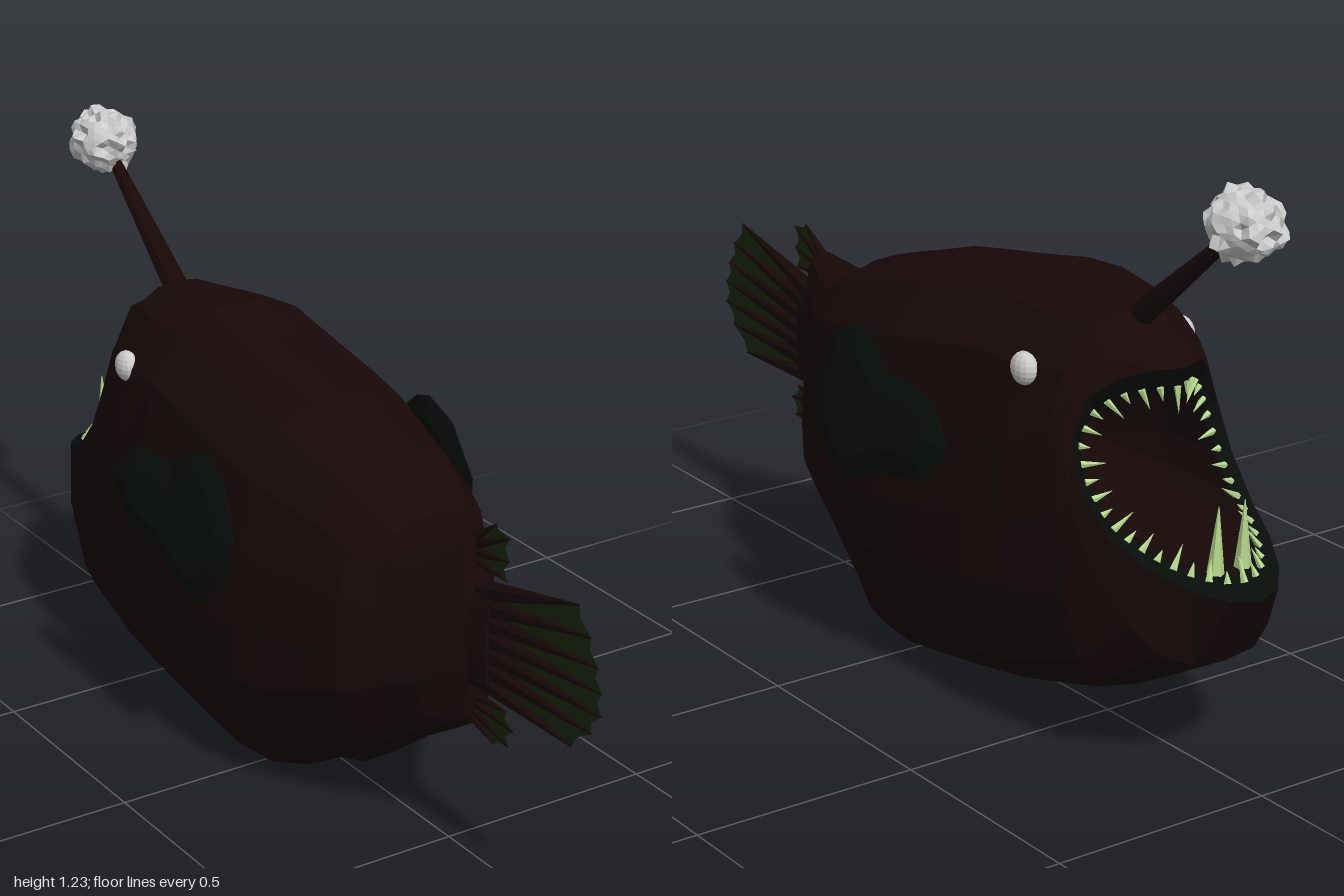
import * as THREE from 'three';

const V = (x, y, z) => new THREE.Vector3(x, y, z);
const mat = (color, side = THREE.FrontSide) =>
  new THREE.MeshStandardMaterial({ color, flatShading: true, side });

const skin = mat(0x180808);
const lipSkin = mat(0x080d0a);
const finSkin = mat(0x080f0d);
const membrane = mat(0x18270a, THREE.DoubleSide);
const toothMat = mat(0xb5d98c);
const grey = mat(0xcccccc);

// Half outline of a body section, top to belly: share of width, share of height
const PROFILE = [[0, 1], [.25, .995], [.58, .955], [.84, .84], [.96, .65], [1, .45],
  [.98, .3], [.85, .1], [.7, .045], [.12, .03], [0, 0]];

// Body sections from tail to head: z, half width, top, bottom, belly fullness
const SECTIONS = [[.65, .026, .625, .41, 1], [.6, .036, .635, .4, 1], [.585, .045, .735, .31, .8],
  [.5, .1, .72, .255, .75], [.42, .145, .715, .205, .72], [.36, .2, .755, .16, .72],
  [.28, .225, .80, .10, .75], [.18, .25, .83, .035, .82], [.08, .268, .862, 0, .92],
  [-.04, .275, .885, 0, .98], [-.18, .27, .91, .02, 1], [-.33, .262, .94, .045, 1.04],
  [-.45, .245, .928, .065, 1.08]];

// Head half rings, top to chin
const CHEEK = [[0, .91, -.59], [.05, .905, -.585], [.11, .88, -.57], [.175, .8, -.56],
  [.205, .68, -.56], [.218, .52, -.6], [.222, .36, -.64], [.212, .23, -.67], [.18, .17, -.69],
  [.09, .155, -.7], [0, .15, -.7]];
const JAW = [[0, .865, -.63], [.05, .86, -.63], [.105, .83, -.62], [.165, .775, -.595],
  [.198, .68, -.59], [.207, .55, -.63], [.2, .42, -.71], [.178, .335, -.79], [.14, .28, -.84],
  [.08, .255, -.87], [0, .25, -.88]];
const RIM = [[0, .82, -.73], [.05, .82, -.71], [.1, .8, -.66], [.15, .76, -.62],
  [.185, .68, -.61], [.193, .58, -.65], [.182, .5, -.73], [.155, .46, -.82], [.113, .43, -.9],
  [.06, .415, -.96], [0, .41, -.98]];

// Completes a half ring with its mirror image
function fullRing(half) {
  const right = half.map(p => V(...p));
  const left = right.slice(1, -1).reverse().map(p => V(-p.x, p.y, p.z));
  return [...right, ...left];
}

// Skin stretched over a row of rings
function loft(rings) {
  const n = rings[0].length, index = [];
  for (let i = 0; i < rings.length - 1; i++) {
    for (let j = 0; j < n; j++) {
      const a = i * n + j, a1 = i * n + (j + 1) % n;
      index.push(a, a1, a + n, a1, a1 + n, a + n);
    }
  }
  const g = new THREE.BufferGeometry().setFromPoints(rings.flat());
  g.setIndex(index);
  g.computeVertexNormals();
  return g;
}

// Tapered round bar between two points
function bar(a, b, r0, r1, sides, material) {
  const d = b.clone().sub(a);
  const m = new THREE.Mesh(new THREE.CylinderGeometry(r1, r0, d.length(), sides), material);
  m.position.copy(a).addScaledVector(d, .5);
  m.quaternion.setFromUnitVectors(V(0, 1, 0), d.normalize());
  return m;
}

// Fan fin in the middle plane; each ray is [base z, base y, tip z, tip y]
function rayFin(name, rays, radius) {
  const fin = new THREE.Group();
  fin.name = name;
  const edge = [];
  rays.forEach((r, i) => {
    edge.push([r[2], r[3]]);
    const q = rays[i + 1];
    if (q) edge.push([(r[2] + q[2]) / 2 - .015, (r[3] + q[3]) / 2]);
    const ray = bar(V(0, r[1], r[0]), V(0, r[3], r[2]), radius, .002, 6, skin);
    ray.name = name + 'Ray';
    fin.add(ray);
  });
  const outline = [...rays.map(r => [r[0], r[1]]).reverse(), ...edge];
  const shape = new THREE.Shape(outline.map(p => new THREE.Vector2(...p)));
  const web = new THREE.Mesh(new THREE.ShapeGeometry(shape).rotateY(-Math.PI / 2), membrane);
  web.name = name + 'Web';
  fin.add(web);
  return fin;
}

export function createModel() {
  const model = new THREE.Group();
  model.name = 'deepSeaFish';
  const add = (name, mesh) => { mesh.name = name; model.add(mesh); return mesh; };

  // Body, closed at the tail and open at the mouth
  const rim = fullRing(RIM);
  const bodyRings = SECTIONS.map(([z, w, top, low, belly]) => fullRing(PROFILE.map(([u, v]) =>
    [u * w * (v < .2 ? belly : 1), low + v * (top - low), z])));
  bodyRings.unshift(bodyRings[0].map(() => V(0, .52, .66)));
  bodyRings.push(fullRing(CHEEK), fullRing(JAW), rim);
  add('body', new THREE.Mesh(loft(bodyRings), skin));

  // Lips, set back under the brow, and the mouth cavity
  const inset = (side, roof, dz) => rim.map(p => V(p.x * side,
    .6 + (p.y - .6) * (p.y > .6 ? roof : side), -.72 + (p.z + .72) * side + dz));
  const lip = inset(.84, .74, .03);
  const throat = lip.map(p => V(p.x * .95, .58 + (p.y - .58) * .95, -.5 + (p.z + .7) * .3));
  const gullet = throat.map(p => V(p.x * .75, .56 + (p.y - .56) * .75, -.3));
  add('lips', new THREE.Mesh(loft([rim, lip]), lipSkin));
  add('mouthCavity', new THREE.Mesh(loft([lip, throat, gullet, gullet.map(() => V(0, .56, -.25))]), skin));

  // Small teeth around the mouth, leaning inwards
  const gum = new THREE.CatmullRomCurve3(inset(.88, .8, .02), true);
  const count = 40;
  for (let i = 0; i < count; i++) {
    const p = gum.getPointAt(i / count);
    const dir = V(0, .61, p.z * .6 - .3).sub(p).normalize();
    const length = [.055, .03, .045, .026][i % 4];
    add('tooth', bar(p, p.clone().addScaledVector(dir, length), .008, .0005, 5, toothMat));
  }

  for (const s of [1, -1]) {
    // Long lower fangs
    add('fang', bar(V(s * .035, .42, -.88), V(s * .033, .585, -.885), .021, .001, 6, toothMat));

    // Eyes
    const eye = add('eye', new THREE.Mesh(new THREE.SphereGeometry(.035, 14, 10), grey));
    eye.scale.x = .7;
    eye.position.set(s * .2, .787, -.47);

    // Side fin, tapering to a sharp edge, with a fleshy root
    const outline = [[.14, .62], [.12, .52], [.05, .45], [0, .43], [-.08, .46], [-.15, .49],
      [-.28, .51], [-.355, .6], [-.29, .68], [-.22, .7], [-.12, .7], [-.05, .755], [0, .77], [.08, .735]];
    const shape = new THREE.Shape(outline.map(([z, y]) => new THREE.Vector2(z, y - .6)));
    const geo = new THREE.ExtrudeGeometry(shape, { depth: .002, bevelThickness: .015,
      bevelSize: .05, bevelOffset: -.05, bevelSegments: 1 });
    geo.translate(0, 0, -.001).rotateY(-Math.PI / 2).rotateZ(s * .12);
    const fin = add('sideFin', new THREE.Mesh(geo, finSkin));
    fin.position.set(s * .306, .6, 0);
    const root = add('sideFinRoot', new THREE.Mesh(new THREE.SphereGeometry(1, 8, 6), skin));
    root.scale.set(.035, .09, .09);
    root.position.set(s * .268, .58, -.03);
  }

  // Tail, back and belly fins
  const tips = [[.92, .715], [.96, .66], [.985, .605], [1, .555], [1, .505], [.97, .455], [.91, .4]];
  model.add(rayFin('tailFin', tips.map(([z, y], i) => [.59, .615 - i * .032, z, y]), .025));
  model.add(rayFin('backFin', [[.56, .715, .645, .78], [.56, .705, .69, .765], [.56, .69, .69, .715],
    [.56, .68, .685, .67]], .013));
  model.add(rayFin('bellyFin', [[.56, .37, .69, .38], [.56, .36, .715, .345], [.56, .345, .7, .305],
    [.56, .33, .65, .29]], .013));

  // Lure: stalk and lumpy bulb
  add('lureStalk', bar(V(0, .87, -.56), V(0, 1.12, -.86), .03, .014, 8, skin));
  const bulbGeo = new THREE.IcosahedronGeometry(1, 4);
  const pos = bulbGeo.attributes.position, v = V(0, 0, 0);
  for (let i = 0; i < pos.count; i++) {
    v.fromBufferAttribute(pos, i);
    const k = Math.sin(Math.round(v.x * 500) * 12.9 + Math.round(v.y * 500) * 78.2 + Math.round(v.z * 500) * 37.7);
    v.multiplyScalar(.071 + .014 * k ** 5);
    pos.setXYZ(i, v.x, v.y, v.z);
  }
  bulbGeo.computeVertexNormals();
  const bulb = add('lureBulb', new THREE.Mesh(bulbGeo, grey));
  bulb.position.set(0, 1.155, -.9);
  bulb.scale.z = 1.15;

  return model;
}
